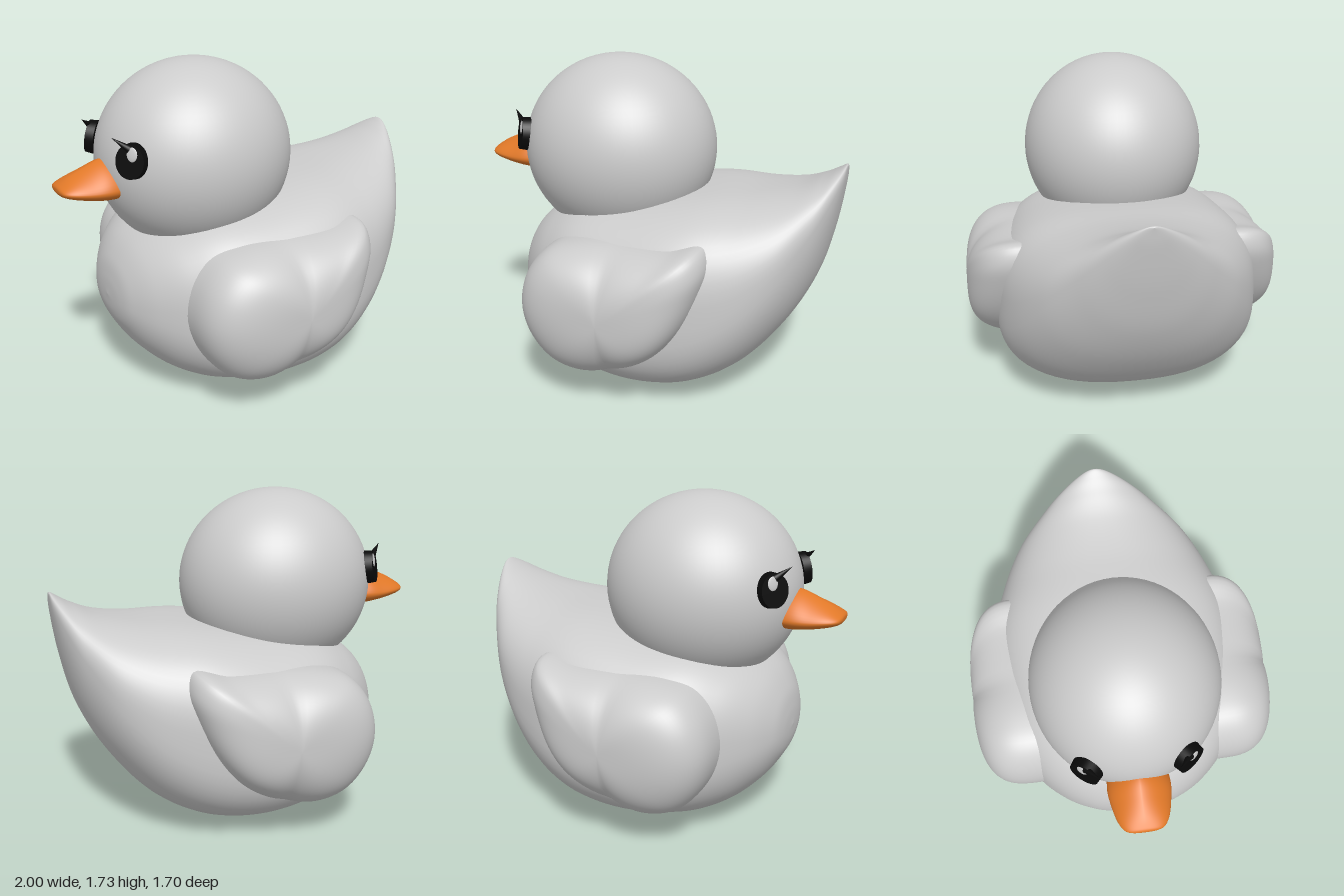
import * as THREE from 'three';

const V = (x, y, z) => new THREE.Vector3(x, y, z);
const mat = (color) => new THREE.MeshStandardMaterial({ color });

function addMesh(parent, name, geometry, material) {
  const mesh = new THREE.Mesh(geometry, material);
  mesh.name = name;
  parent.add(mesh);
  return mesh;
}

// Smooth skin over a list of closed rings with equal point counts
function skin(rings) {
  const n = rings[0].length;
  const index = [];
  for (let i = 0; i < rings.length - 1; i++) {
    for (let j = 0; j < n; j++) {
      const k = (j + 1) % n;
      const a = i * n + j, b = a + n, c = (i + 1) * n + k, d = i * n + k;
      index.push(a, b, c, a, c, d);
    }
  }
  const geometry = new THREE.BufferGeometry().setFromPoints(rings.flat());
  geometry.setIndex(index);
  geometry.computeVertexNormals();
  return geometry;
}

// Loft along x; a station is
// [x, top y, bottom y, half width, y of widest line, top fullness, bottom fullness]
function loft(stations, steps, segments) {
  const track = (f) => new THREE.CatmullRomCurve3(stations.map(f), false, 'catmullrom');
  const heights = track((s) => V(s[0], s[1], s[2]));
  const widths = track((s) => V(s[0], s[3], s[4]));
  const powers = track((s) => V(s[0], s[5], s[6]));
  const rings = [];
  for (let i = 0; i <= steps; i++) {
    const [h, w, f] = [heights, widths, powers].map((curve) => curve.getPoint(i / steps));
    const ring = [];
    for (let j = 0; j < segments; j++) {
      const a = (j / segments) * Math.PI * 2, c = Math.cos(a), s = Math.sin(a);
      const p = 2 / (s >= 0 ? f.y : f.z);
      const y = w.z + Math.pow(Math.abs(s), p) * (s >= 0 ? h.y - w.z : h.z - w.z);
      ring.push(V(h.x, y, Math.sign(c) * Math.pow(Math.abs(c), p) * w.y));
    }
    rings.push(ring);
  }
  return skin(rings);
}

// Teardrop dome bulging towards the given side, rounder towards its middle
function wing(side) {
  const outline = new THREE.CatmullRomCurve3([
    [-0.54, 0.55], [-0.5, 0.38], [-0.38, 0.23], [-0.2, 0.17], [0, 0.21], [0.2, 0.34],
    [0.33, 0.5], [0.42, 0.7], [0.45, 0.84], [0.41, 0.925], [0.25, 0.9], [0, 0.89],
    [-0.25, 0.88], [-0.4, 0.835], [-0.5, 0.72],
  ].map(([x, y]) => V(x, y, 0)), true);
  const rim = outline.getPoints(80).slice(0, 80);
  const centre = V(-0.04, 0.55, 0);
  const rings = [];
  for (let i = 0; i <= 32; i++) {
    const a = (i / 32) * 1.9; // past the rim, curling in to the body
    const s = Math.sin(a);
    const ring = rim.map((p) => {
      const angle = Math.atan2(p.y - centre.y, p.x - centre.x);
      const oval = V(Math.cos(angle), Math.sin(angle), 0);
      const fullness = 2 + 1.2 * Math.abs(oval.x);
      oval.multiplyScalar(1 / Math.hypot(oval.x / 0.48, oval.y / 0.36)).add(centre);
      const q = centre.clone().lerp(oval.lerp(p, s), s);
      const depth = Math.pow(Math.max(0, 1 - Math.pow(s, fullness)), 1 / fullness);
      q.z = side * (0.52 + 0.33 * Math.sign(Math.cos(a)) * depth);
      return q;
    });
    rings.push(side > 0 ? ring : ring.reverse());
  }
  return skin(rings);
}

// Eye disc with a highlight and one lash, turned to follow the head
function eye(side, black, grey) {
  const group = new THREE.Group();
  const normal = V(-0.78, 0.15, 0.6 * side).normalize();
  const disc = new THREE.Group();
  disc.position.set(-0.698, 1.31, 0.25 * side);
  disc.quaternion.setFromRotationMatrix(
    new THREE.Matrix4().lookAt(normal, V(0, 0, 0), V(0, 1, 0)));
  group.add(disc);
  const plate = new THREE.CylinderGeometry(0.95, 1, 1, 40).rotateX(Math.PI / 2);
  addMesh(disc, 'eyeDisc', plate, black).scale.set(0.081, 0.09, 0.046);
  const glint = addMesh(disc, 'eyeHighlight', new THREE.SphereGeometry(1, 24, 16), grey);
  glint.scale.set(0.029, 0.036, 0.007);
  glint.position.set(0.012 * side, 0.036, 0.022);

  const base = V(-0.705, 1.37, 0.25 * side), tip = V(-0.775, 1.425, 0.19 * side);
  const direction = tip.clone().sub(base);
  const lash = addMesh(group, 'eyelash', new THREE.ConeGeometry(0.02, direction.length(), 16), black);
  lash.position.copy(base).add(tip).multiplyScalar(0.5);
  lash.quaternion.setFromUnitVectors(V(0, 1, 0), direction.normalize());
  return group;
}

export function createModel() {
  const model = new THREE.Group();
  const grey = mat(0xcccccc), orange = mat(0xe07828), black = mat(0x0a0a0a);

  // Plump, broad-backed body sweeping up to a pointed tail
  addMesh(model, 'body', loft([
    [-0.76, 0.52, 0.52, 0, 0.52, 2.1, 2.1],
    [-0.75, 0.62, 0.43, 0.14, 0.52, 2.1, 2.1],
    [-0.72, 0.72, 0.35, 0.25, 0.52, 2.2, 2.2],
    [-0.64, 0.83, 0.23, 0.39, 0.51, 2.4, 2.3],
    [-0.5, 0.92, 0.11, 0.53, 0.5, 2.7, 2.5],
    [-0.3, 0.99, 0.03, 0.64, 0.48, 3, 2.6],
    [0, 1.03, 0, 0.69, 0.46, 3.1, 2.7],
    [0.3, 1.065, 0.04, 0.69, 0.5, 3, 2.6],
    [0.55, 1.085, 0.165, 0.615, 0.6, 2.6, 2.4],
    [0.75, 1.125, 0.39, 0.49, 0.78, 2.2, 2.3],
    [0.88, 1.18, 0.63, 0.33, 0.95, 2, 2.2],
    [0.95, 1.22, 0.88, 0.2, 1.08, 2, 2.1],
    [0.99, 1.245, 1.12, 0.085, 1.18, 2, 2],
    [1, 1.24, 1.24, 0, 1.24, 2, 2],
  ], 104, 64), grey);

  // Head
  const head = addMesh(model, 'head', new THREE.SphereGeometry(1, 64, 40), grey);
  head.scale.set(0.525, 0.503, 0.487);
  head.position.set(-0.238, 1.225, 0);

  // Wide bill with a raised ridge
  addMesh(model, 'bill', loft([
    [-1, 1.14, 1.14, 0, 1.14, 2, 2],
    [-0.997, 1.155, 1.125, 0.06, 1.14, 2, 2],
    [-0.98, 1.17, 1.11, 0.1, 1.138, 1.8, 2],
    [-0.93, 1.2, 1.093, 0.13, 1.135, 1.6, 2],
    [-0.85, 1.235, 1.075, 0.15, 1.13, 1.5, 2],
    [-0.77, 1.265, 1.063, 0.16, 1.13, 1.5, 2],
    [-0.68, 1.27, 1.06, 0.15, 1.13, 1.5, 2],
  ], 42, 48), orange);

  // Paired wings and eyes
  for (const side of [1, -1]) {
    const label = side > 0 ? 'Near' : 'Far';
    addMesh(model, 'wing' + label, wing(side), grey);
    const e = eye(side, black, grey);
    e.name = 'eye' + label;
    model.add(e);
  }
  return model;
}
